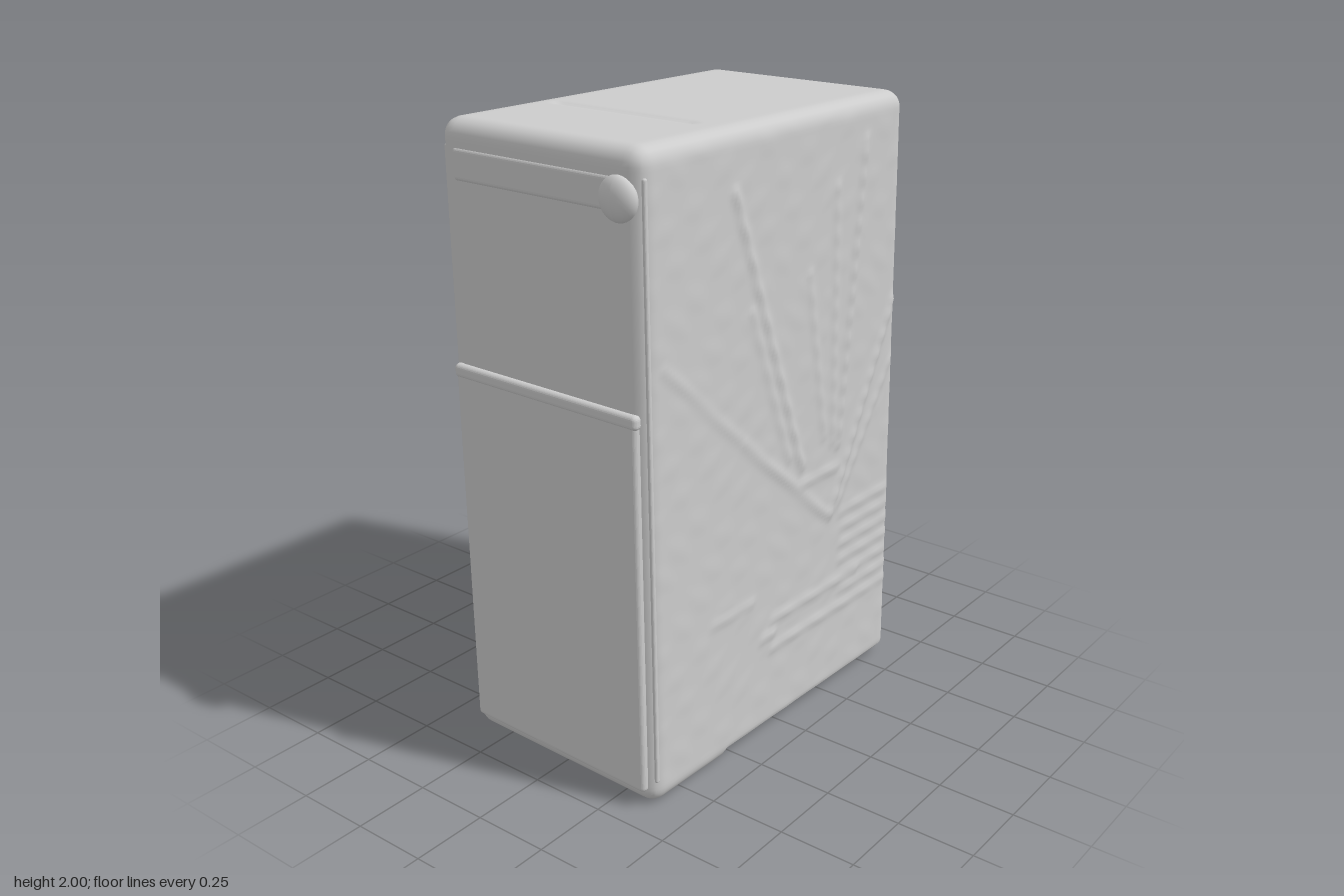
import * as THREE from 'three';
import { mergeVertices } from 'three/addons/utils/BufferGeometryUtils.js';
import { RoundedBoxGeometry } from 'three/addons/geometries/RoundedBoxGeometry.js';

const HALF = new THREE.Vector3(0.642, 1, 0.39);
const RADIUS = 0.055;

// Embossed lines on the front and back: x1, y1, x2, y2, height
const RIDGES = [
  [0.1, 0.88, -0.24, 1.82, 0.010], [0.03, 0.93, -0.16, 1.45, 0.006],
  [0.26, 0.66, 0.6, 1.32, 0.010], [0.3, 0.68, 0.6, 1.12, 0.006],
  [0.3, 0.9, 0.42, 1.87, 0.010], [0.27, 0.92, 0.27, 1.75, 0.007],
  [0.22, 0.95, 0.13, 1.5, 0.006], [0.24, 0.67, -0.2, 1.05, 0.008],
  [-0.2, 1.05, -0.56, 1.38, 0.005], [0.1, 0.82, 0.3, 0.82, 0.007],
  [-0.05, 0.4, 0.42, 0.4, 0.007], [-0.05, 0.3, 0.42, 0.3, 0.007],
  [-0.1, 0.35, -0.05, 0.35, 0.009], [-0.35, 0.5, -0.16, 0.5, 0.005],
];
for (let y = 0.3; y < 0.7; y += 0.058) RIDGES.push([0.33, y, 0.62, y, 0.006]);

// Distance from a point to a line segment
function segmentDistance(x, y, [x1, y1, x2, y2]) {
  const dx = x2 - x1, dy = y2 - y1;
  const t = THREE.MathUtils.clamp(((x - x1) * dx + (y - y1) * dy) / (dx * dx + dy * dy), 0, 1);
  return Math.hypot(x - x1 - t * dx, y - y1 - t * dy);
}

function relief(x, y) {
  let h = 0.0015 * Math.sin(x * 31 + 2 * Math.sin(y * 9)) * Math.sin(y * 37 + Math.sin(x * 13));
  for (const r of RIDGES) {
    const d = segmentDistance(x, y, r) / 0.016;
    h = Math.max(h, r[4] * Math.exp(-d * d) * (0.8 + 0.2 * Math.sin(y * 80 + x * 45)));
  }
  return h - 0.002;
}

// Slight turn and backward lean shared by every part
function skew(geometry) {
  const p = geometry.attributes.position;
  for (let i = 0; i < p.count; i++) {
    const x = p.getX(i), y = p.getY(i), z = p.getZ(i);
    p.setXYZ(i, x - 0.027 * z + 0.004, y, z + 0.027 * x - 0.016 * (y - 1));
  }
  geometry.computeVertexNormals();
  return geometry;
}

// Rounded carton with embossed faces, top crease and folded base flaps
function cartonGeometry() {
  const box = new THREE.BoxGeometry(HALF.x * 2, HALF.y * 2, HALF.z * 2, 100, 150, 36);
  box.deleteAttribute('normal');
  box.deleteAttribute('uv');
  const geometry = mergeVertices(box, 1e-4);
  const p = geometry.attributes.position;
  const inner = HALF.clone().subScalar(RADIUS);
  const v = new THREE.Vector3(), core = new THREE.Vector3(), n = new THREE.Vector3();
  for (let i = 0; i < p.count; i++) {
    v.fromBufferAttribute(p, i);
    core.copy(v).clamp(inner.clone().negate(), inner);
    n.copy(v).sub(core).normalize();
    v.copy(core).addScaledVector(n, RADIUS);
    v.y += 1;
    const facing = n.z ** 4;
    if (facing > 0.01) v.z += Math.sign(n.z) * facing * relief(v.x, v.y);
    if (n.y > 0.9 && v.z > -0.3 && v.z < 0.25) {
      v.y -= 0.007 * Math.exp(-(((v.x + 0.25) / 0.016) ** 2));
    }
    if (n.y < -0.3) {
      const lift = v.x < -0.29 ? 0 : v.x < 0.24 ? 0.022 : 0.014;
      v.y += -n.y * (lift + 0.012 * Math.exp(-(((v.x - 0.24) / 0.014) ** 2)));
    }
    p.setXYZ(i, v.x, v.y, v.z);
  }
  return skew(geometry);
}

export function createModel() {
  const group = new THREE.Group();
  group.name = 'carton';
  const card = new THREE.MeshStandardMaterial({ color: 0xcccccc });
  card.name = 'light grey card';

  const add = (name, geometry) => {
    const mesh = new THREE.Mesh(geometry, card);
    mesh.name = name;
    group.add(mesh);
  };
  const slab = (name, w, h, d, x, y, z, r) =>
    add(name, skew(new RoundedBoxGeometry(w, h, d, 3, r).translate(x, y, z)));

  add('cartonBody', cartonGeometry());

  // Closing flap over the lower part of the left-hand end, with its lip
  slab('sideFlap', 0.04, 1.2, 0.72, -0.637, 0.65, 0, 0.015);
  slab('sideFlapLip', 0.035, 0.045, 0.73, -0.643, 1.24, 0, 0.015);
  // Tucked top edge and crumpled corner above the flap
  slab('topTuck', 0.03, 0.1, 0.66, -0.632, 1.87, 0, 0.014);
  add('crumpledCorner', skew(new THREE.SphereGeometry(1, 20, 14)
    .scale(0.035, 0.065, 0.065).translate(-0.642, 1.86, 0.31)));
  // Folded edges beside the flap
  for (const side of [-1, 1]) {
    slab('foldedEdge', 0.016, 1.84, 0.018, -0.615, 1, side * 0.377, 0.007);
  }
  return group;
}
